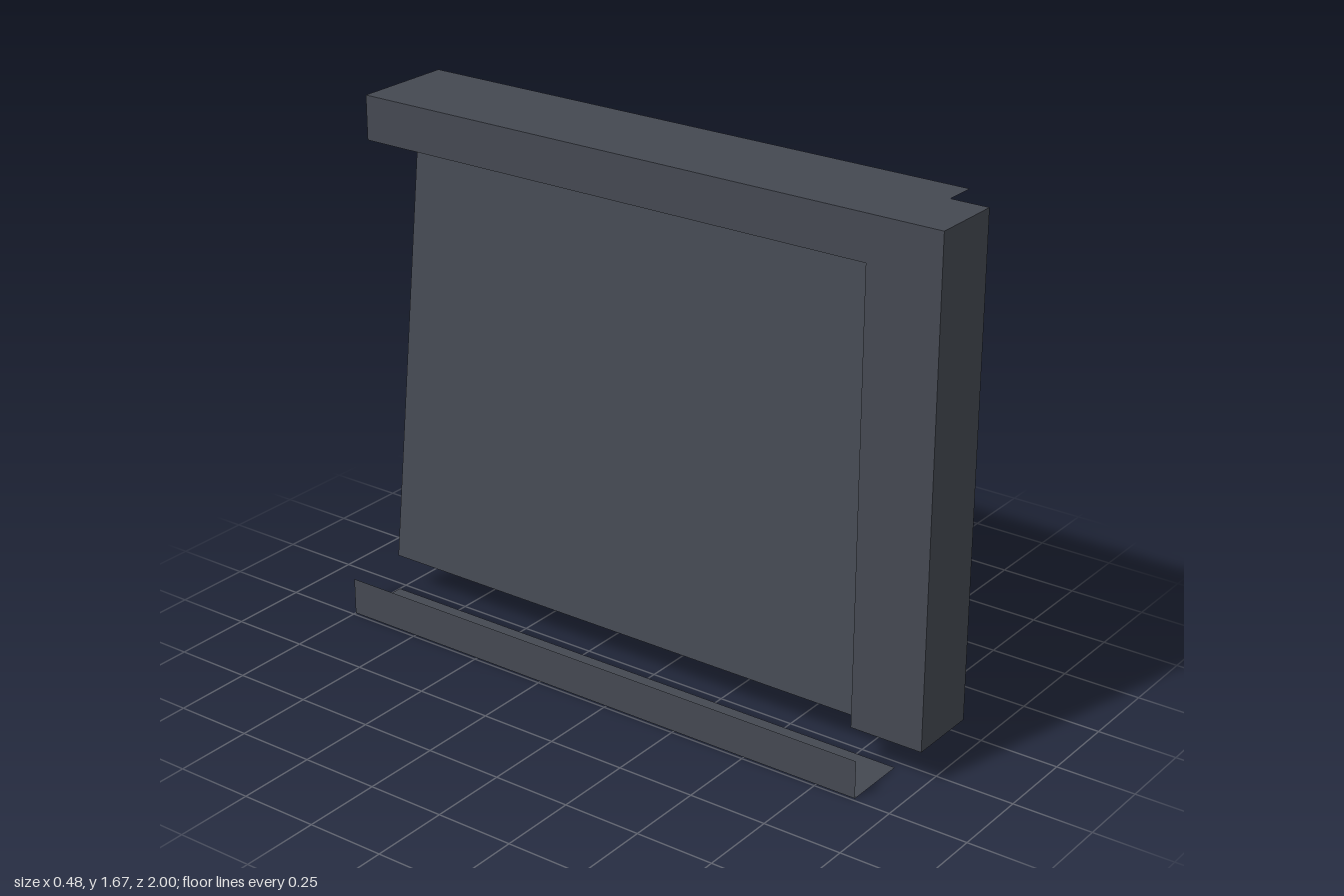
import * as THREE from 'three';

export function createModel() {
  const group = new THREE.Group();
  const slate = new THREE.MeshStandardMaterial({ color: 0x444851, side: THREE.DoubleSide });
  slate.name = 'dark slate';

  const back = -1, front = 1, railEnd = 0.88, wallZ = 0.765;
  const top = 1.67, low = 0.12, lip = 1.53;
  const postLeft = 0.14, postRight = -0.09;

  // Flat sheet swept along z between two points of the cross-section
  function strip(name, [x0, y0], [x1, y1], z0, z1) {
    const geo = new THREE.PlaneGeometry(Math.hypot(x1 - x0, y1 - y0), z1 - z0);
    geo.rotateX(-Math.PI / 2).rotateZ(Math.atan2(y1 - y0, x1 - x0));
    const mesh = new THREE.Mesh(geo, slate);
    mesh.name = name;
    mesh.position.set((x0 + x1) / 2, (y0 + y1) / 2, (z0 + z1) / 2);
    group.add(mesh);
  }

  // Upright sheet across the post
  function wall(name, z, turn) {
    const geo = new THREE.PlaneGeometry(postLeft - postRight, top - low).rotateY(turn);
    const mesh = new THREE.Mesh(geo, slate);
    mesh.name = name;
    mesh.position.set((postLeft + postRight) / 2, (top + low) / 2, z);
    group.add(mesh);
  }

  // Post: front, back and outer side, open at the bottom and inner side
  wall('postFront', front, 0);
  wall('postBack', wallZ, Math.PI);
  strip('postSide', [postRight, low], [postRight, top], wallZ, front);

  // Top rail: notched cover with a short fascia
  const outline = [
    [postRight, front], [postLeft, front], [postLeft, railEnd],
    [0.24, railEnd], [0.24, back], [postRight, back],
  ].map(([x, z]) => new THREE.Vector2(x, -z));
  const cover = new THREE.Mesh(
    new THREE.ShapeGeometry(new THREE.Shape(outline)).rotateX(-Math.PI / 2), slate);
  cover.name = 'topCover';
  cover.position.y = top;
  group.add(cover);
  strip('topFascia', [postRight, lip], [postRight, top], back, wallZ);

  // Leaning panel
  strip('leaningPanel', [-0.03, low], [postLeft, lip], back, railEnd);

  // Bottom rail: floor strip with an upturned edge
  strip('bottomStrip', [-0.24, 0], [-0.03, 0], back, railEnd);
  strip('bottomEdge', [-0.24, 0], [-0.24, low], back, railEnd);

  return group;
}
